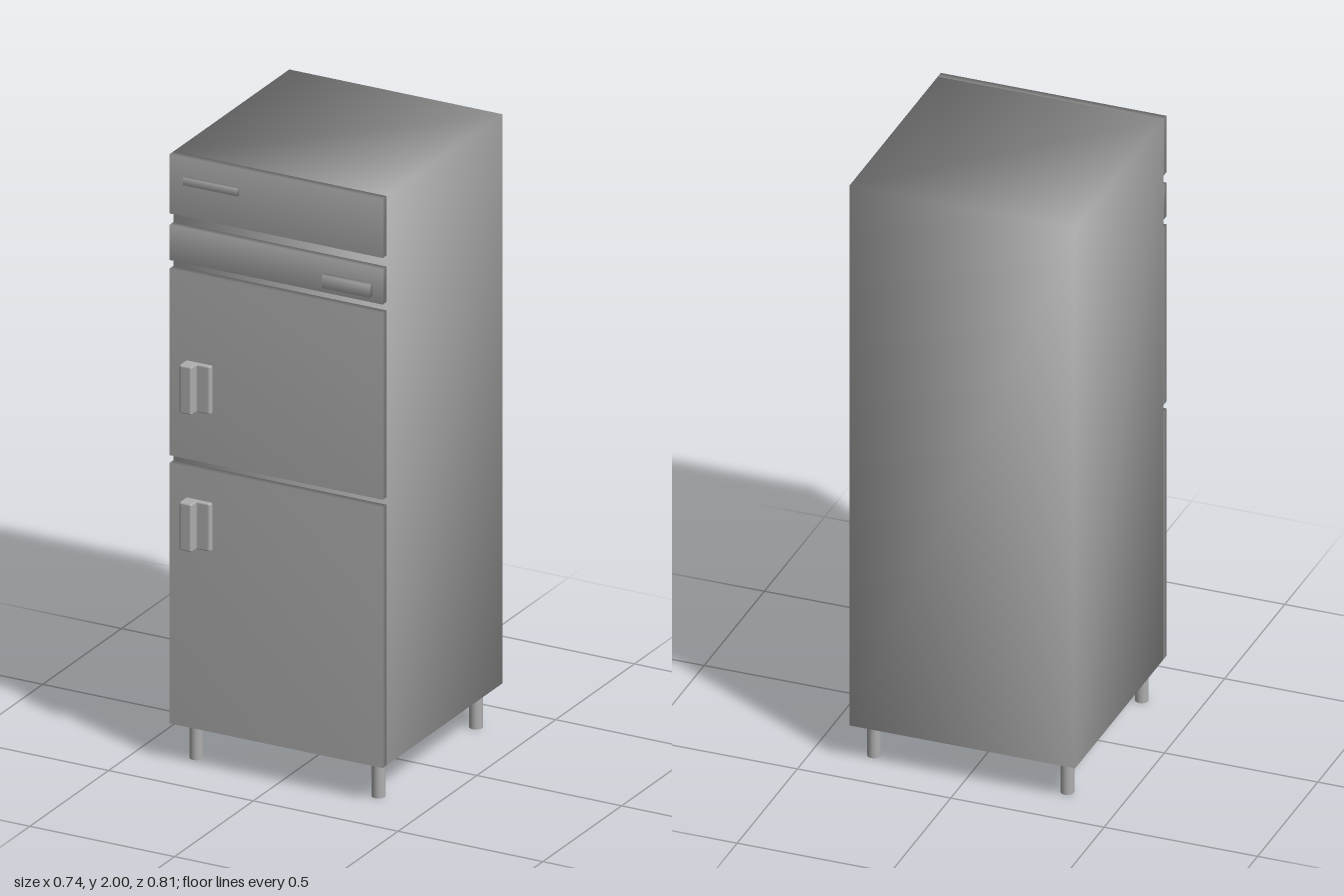
import * as THREE from 'three';

const material = new THREE.MeshStandardMaterial({ color: 0xaeaeae });

// Box whose faces share averaged corner normals, weighted by face area
function smoothBox(...size) {
  const geometry = new THREE.BoxGeometry(...size);
  const { position, normal } = geometry.attributes;
  const n = new THREE.Vector3();
  for (let i = 0; i < position.count; i++) {
    n.set(
      Math.sign(position.getX(i)) / size[0],
      Math.sign(position.getY(i)) / size[1],
      Math.sign(position.getZ(i)) / size[2],
    ).normalize();
    normal.setXYZ(i, n.x, n.y, n.z);
  }
  return geometry;
}

export function createModel() {
  const model = new THREE.Group();
  model.name = 'cabinet';

  const add = (name, geometry, x = 0, y = 0, z = 0) => {
    const mesh = new THREE.Mesh(geometry, material);
    mesh.name = name;
    mesh.position.set(x, y, z);
    model.add(mesh);
  };

  // Smooth-shaded block given by its limits on each axis
  const block = (name, [x0, x1], [y0, y1], [z0, z1]) => {
    const geometry = smoothBox(x1 - x0, y1 - y0, z1 - z0);
    add(name, geometry, (x0 + x1) / 2, (y0 + y1) / 2, (z0 + z1) / 2);
  };

  // Main body
  const width = [-0.368, 0.368];
  const bottom = 0.128;
  const bodyFront = 0.33;
  block('body', width, [bottom, 2], [-0.404, bodyFront]);

  // Front panels and doors, separated by narrow gaps
  const front = 0.355;
  const panels = [
    ['topPanel', 1.805, 2],
    ['controlPanel', 1.652, 1.768],
    ['upperDoor', 1.01, 1.624],
    ['lowerDoor', bottom, 0.985],
  ];
  for (const [name, y0, y1] of panels) {
    block(name, width, [y0, y1], [bodyFront, front]);
  }

  // Raised plates on the two upper panels
  block('namePlate', [-0.317, -0.128], [1.912, 1.937], [front, 0.365]);
  block('display', [0.167, 0.332], [1.673, 1.715], [front, 0.372]);

  // Door handles: an L-shaped section (x, -z) run vertically, with soft ends
  const bevel = 0.004;
  const section = new THREE.Shape();
  section.moveTo(-0.308, -0.354);
  section.lineTo(-0.308, -0.392);
  section.quadraticCurveTo(-0.308, -0.397, -0.303, -0.397);
  section.lineTo(-0.277, -0.397);
  section.quadraticCurveTo(-0.272, -0.397, -0.272, -0.392);
  section.lineTo(-0.272, -0.376);
  section.quadraticCurveTo(-0.272, -0.367, -0.263, -0.367);
  section.lineTo(-0.229, -0.367);
  section.quadraticCurveTo(-0.224, -0.367, -0.224, -0.362);
  section.lineTo(-0.224, -0.354);
  section.closePath();
  const handle = new THREE.ExtrudeGeometry(section, {
    depth: 0.157 - 2 * bevel,
    bevelSize: bevel,
    bevelThickness: bevel,
    bevelSegments: 2,
    curveSegments: 4,
  });
  handle.rotateX(-Math.PI / 2);
  add('upperDoorHandle', handle, 0, 1.177 + bevel);
  add('lowerDoorHandle', handle, 0, 0.726 + bevel);

  // Four short round legs
  const leg = new THREE.CylinderGeometry(0.021, 0.021, bottom, 20);
  for (const x of [-0.315, 0.315]) {
    for (const z of [0.284, -0.334]) {
      add(z > 0 ? 'frontLeg' : 'backLeg', leg, x, bottom / 2, z);
    }
  }

  return model;
}
